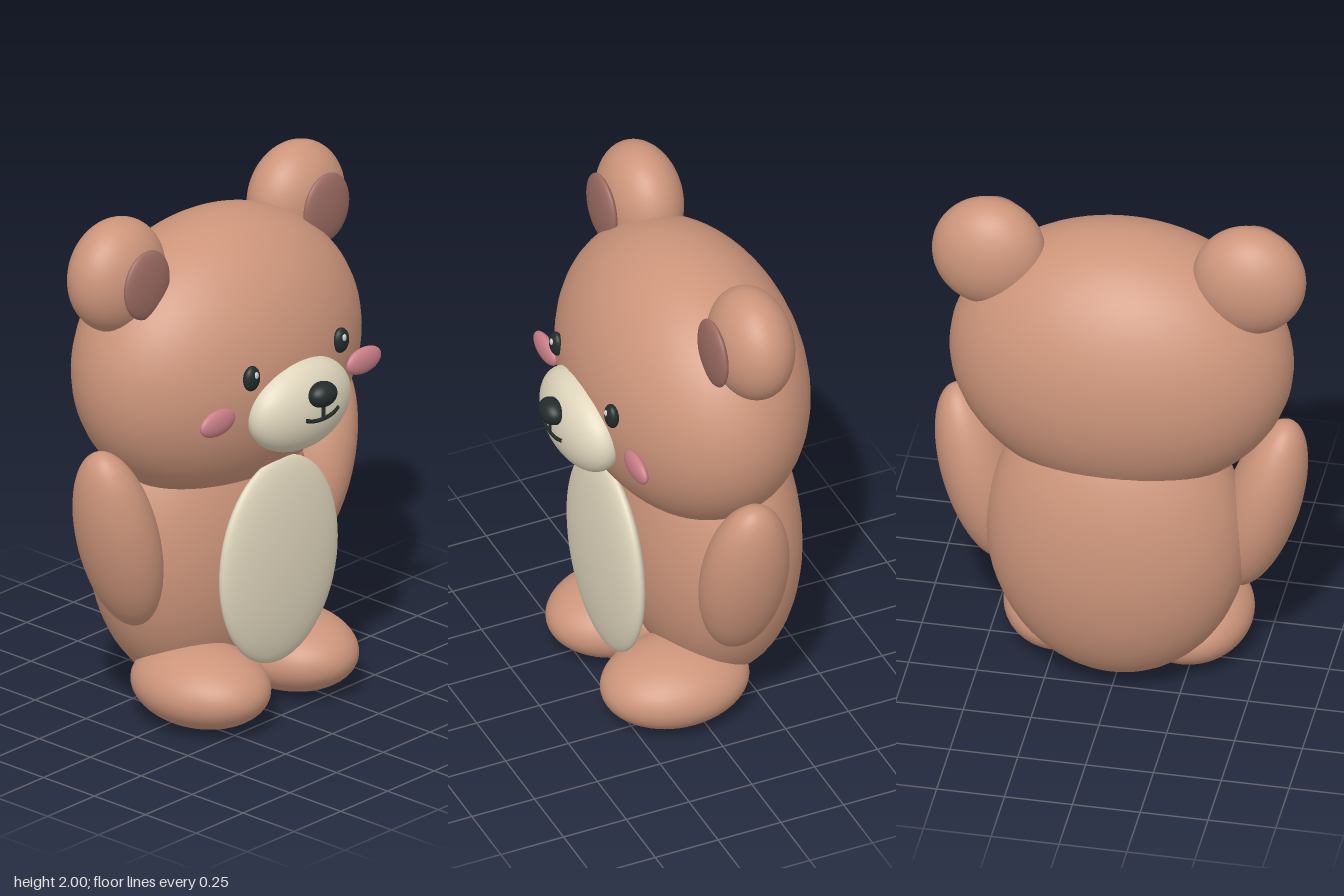
import * as THREE from 'three';

const material = (color) => new THREE.MeshStandardMaterial({ color });
const fur = material(0xcd957b);
const cream = material(0xe0d6bd);
const innerEarPink = material(0x9c6b62);
const cheekPink = material(0xcc7f88);
const dark = material(0x222b2b);
const white = material(0xffffff);

export function createModel() {
  const model = new THREE.Group();
  model.name = 'bear';

  const add = (name, geometry, mat) => {
    const mesh = new THREE.Mesh(geometry, mat);
    mesh.name = name;
    model.add(mesh);
    return mesh;
  };

  // Ellipsoid from centre and half-sizes
  const ellipsoid = (name, mat, [x, y, z], [rx, ry, rz], thetaLength = Math.PI) => {
    const geometry = new THREE.SphereGeometry(1, 48, 32, 0, Math.PI * 2, 0, thetaLength);
    const mesh = add(name, geometry, mat);
    mesh.position.set(x, y, z);
    mesh.scale.set(rx, ry, rz);
    return mesh;
  };

  // Torso and tummy patch
  ellipsoid('body', fur, [0, 0.64, -0.155], [0.48, 0.6, 0.325]);
  ellipsoid('belly', cream, [0, 0.615, 0.235], [0.31, 0.4, 0.065]);

  // Head, cut flat underneath at the neck
  const cut = 2.473;
  ellipsoid('head', fur, [0, 1.36, -0.07], [0.63, 0.53, 0.42], cut);
  const neck = add('headBase', new THREE.CircleGeometry(1, 48), fur);
  neck.position.set(0, 1.36 + 0.53 * Math.cos(cut), -0.07);
  neck.rotation.x = Math.PI / 2;
  neck.scale.set(0.63 * Math.sin(cut), 0.42 * Math.sin(cut), 1);

  // Muzzle and nose
  ellipsoid('muzzle', cream, [0, 1.255, 0.335], [0.247, 0.172, 0.12]);
  ellipsoid('nose', dark, [0, 1.325, 0.45], [0.063, 0.047, 0.048]);

  // Mouth: a short drop below the nose and a gentle smile
  const tube = (name, points) => {
    const curve = new THREE.CatmullRomCurve3(points.map((p) => new THREE.Vector3(...p)));
    add(name, new THREE.TubeGeometry(curve, 24, 0.008, 8), dark);
  };
  tube('mouthStem', [[0, 1.29, 0.455], [0, 1.235, 0.456]]);
  tube('smile', [
    [-0.088, 1.247, 0.446], [-0.05, 1.235, 0.453], [0, 1.231, 0.456],
    [0.05, 1.235, 0.453], [0.088, 1.247, 0.446],
  ]);

  // Mirrored parts
  for (const [side, s] of [['left', 1], ['right', -1]]) {
    ellipsoid(side + 'Ear', fur, [s * 0.48, 1.785, -0.12], [0.208, 0.215, 0.15]);
    ellipsoid(side + 'InnerEar', innerEarPink, [s * 0.48, 1.785, 0.03], [0.118, 0.133, 0.03]);
    ellipsoid(side + 'Eye', dark, [s * 0.238, 1.425, 0.322], [0.037, 0.048, 0.025]);
    ellipsoid(side + 'EyeGlint', white, [s * 0.235, 1.441, 0.342], [0.011, 0.014, 0.008]);
    ellipsoid(side + 'Cheek', cheekPink, [s * 0.39, 1.29, 0.295], [0.09, 0.05, 0.026]);

    // Arm leans outwards at the shoulder
    const arm = ellipsoid(side + 'Arm', fur, [s * 0.52, 0.77, -0.075], [0.137, 0.376, 0.165]);
    arm.rotation.z = -s * 0.265;

    ellipsoid(side + 'Foot', fur, [s * 0.235, 0.15, 0.07], [0.222, 0.148, 0.28]);
  }

  return model;
}
